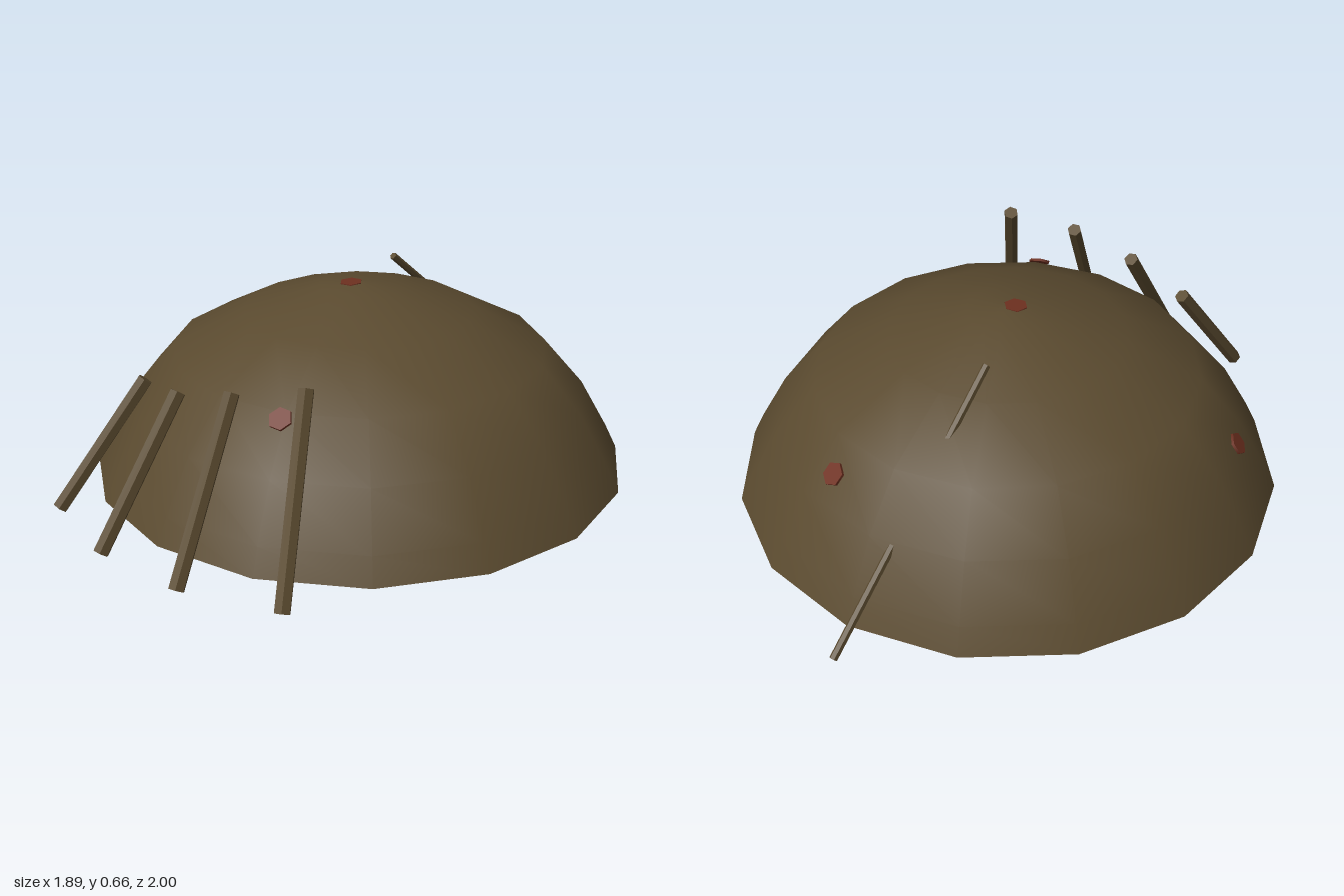
import * as THREE from 'three';

export function createModel() {
  const group = new THREE.Group();
  const brown = new THREE.MeshStandardMaterial({ name: 'mudBrown', color: 0x5a4a2f, side: THREE.DoubleSide });
  const red = new THREE.MeshStandardMaterial({ name: 'rustRed', color: 0x6e3020 });
  const up = new THREE.Vector3(0, 1, 0);
  const centre = new THREE.Vector3(0.03, 0, -0.085);

  function add(name, geometry, material, position, direction = up) {
    const mesh = new THREE.Mesh(geometry, material);
    mesh.name = name;
    mesh.position.copy(position);
    mesh.quaternion.setFromUnitVectors(up, direction);
    group.add(mesh);
    return mesh;
  }

  // Open sixteen-sided dome, hollow underneath
  const profile = [
    [0.92, 0.025], [0.878, 0.11], [0.78, 0.28], [0.64, 0.44],
    [0.395, 0.565], [0.135, 0.65], [0, 0.66],
  ].map(([r, y]) => new THREE.Vector2(r, y));
  const dome = add('dome', new THREE.LatheGeometry(profile, 16), brown, centre);
  dome.rotation.y = 0.095;

  // Six-sided faceted stick between two points
  function stick(name, a, b, radius) {
    const from = new THREE.Vector3(...a), to = new THREE.Vector3(...b);
    const axis = to.clone().sub(from);
    const geometry = new THREE.CylinderGeometry(radius, radius, axis.length(), 6).toNonIndexed();
    geometry.computeVertexNormals();
    add(name, geometry, brown, from.add(to).multiplyScalar(0.5), axis.normalize());
  }

  // Poles leaning against the front right
  [
    [[-0.92, 0.025, 0.395], [-0.645, 0.425, 0.25]],
    [[-0.72, 0.025, 0.675], [-0.5, 0.47, 0.45]],
    [[-0.452, 0.025, 0.87], [-0.312, 0.53, 0.588]],
    [[-0.132, 0.025, 0.975], [-0.085, 0.58, 0.66]],
  ].forEach(([a, b], i) => stick('leaningPole' + (i + 1), a, b, 0.026));

  // Thin rod passing through the back left of the dome
  stick('thinRod', [0.66, 0.025, -0.92], [0.135, 0.655, -0.39], 0.013);

  // Thin hexagonal patches lying on the shell
  const sphereCentre = new THREE.Vector3(0.03, -0.317, -0.085);
  [
    [-0.175, 0.43, 0.545], [-0.68, 0.275, -0.41],
    [0.62, 0.36, -0.482], [0.002, 0.655, -0.08],
  ].forEach((p, i) => {
    const position = new THREE.Vector3(...p);
    const normal = position.clone().sub(sphereCentre).normalize();
    add('patch' + (i + 1), new THREE.CylinderGeometry(0.039, 0.039, 0.009, 6), red, position, normal);
  });

  return group;
}
